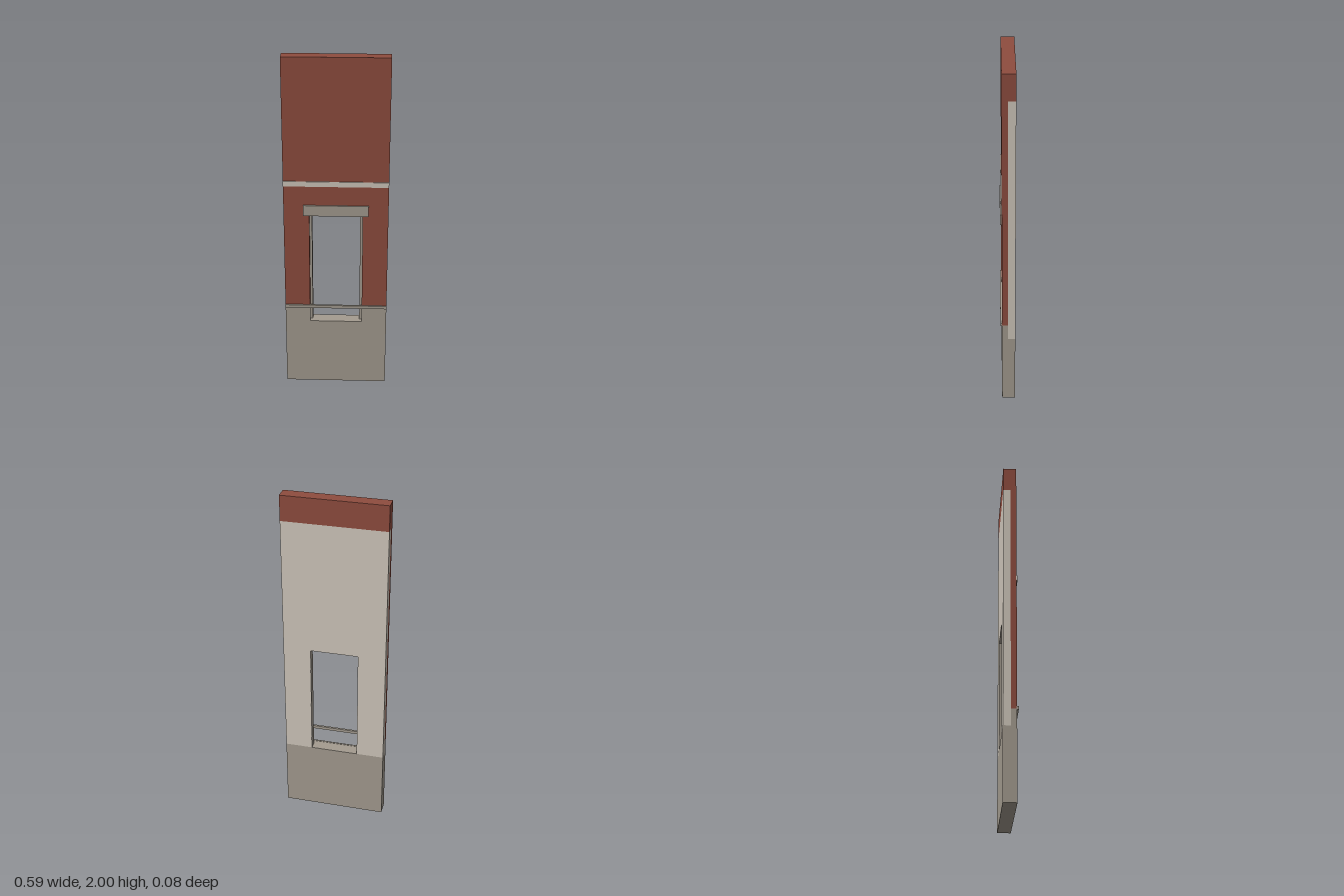
import * as THREE from 'three';

const HALF = 0.294, BACK = -0.042, MID = 0, FRONT = 0.033;

function material(name, color) {
  const m = new THREE.MeshStandardMaterial({ color });
  m.name = name;
  return m;
}

export function createModel() {
  const wall = new THREE.Group();
  wall.name = 'windowWallPanel';
  const brick = material('red brick', 0x8f4d3f);
  const stone = material('grey stone', 0xa49c90);
  const plaster = material('pale plaster', 0xd0c8bc);

  function add(name, geometry, mat) {
    const mesh = new THREE.Mesh(geometry, mat);
    mesh.name = name;
    wall.add(mesh);
  }

  // Box given by its limits on each axis
  function block(name, mat, x0, x1, y0, y1, z0, z1) {
    const g = new THREE.BoxGeometry(x1 - x0, y1 - y0, z1 - z0);
    g.translate((x0 + x1) / 2, (y0 + y1) / 2, (z0 + z1) / 2);
    add(name, g, mat);
  }

  // Flat outline extruded between two depths
  function slab(name, mat, points, z0, z1) {
    const shape = new THREE.Shape(points.map(([x, y]) => new THREE.Vector2(x, y)));
    const g = new THREE.ExtrudeGeometry(shape, { depth: z1 - z0, bevelEnabled: false });
    add(name, g.translate(0, 0, z0), mat);
  }

  // Upside-down U around the window opening
  const arch = (outer, bottom, top, inner, head) => [
    [-outer, bottom], [-inner, bottom], [-inner, head], [inner, head],
    [inner, bottom], [outer, bottom], [outer, top], [-outer, top],
  ];

  // Main wall layers
  slab('brickFacing', brick, arch(HALF, 0.505, 1.855, 0.15, 1.09), MID, FRONT);
  block('brickTop', brick, -HALF, HALF, 1.855, 2, BACK, FRONT);
  slab('plasterBacking', plaster, arch(HALF, 0.412, 1.855, 0.137, 1.082), BACK, MID);

  // Stone base with raised front cheeks beside the opening
  block('stoneBase', stone, -HALF, HALF, 0, 0.412, BACK, FRONT);
  for (const s of [-1, 1]) {
    const a = s * 0.15, b = s * HALF;
    block('baseCheek', stone, Math.min(a, b), Math.max(a, b), 0.412, 0.505, MID, FRONT);
  }

  // Window surround
  slab('windowFrame', stone, arch(0.15, 0.412, 1.09, 0.136, 1.081), BACK + 0.001, 0.003);
  block('lintel', stone, -0.183, 0.183, 1.09, 1.153, FRONT - 0.005, 0.042);
  block('windowSill', stone, -0.15, 0.15, 0.408, 0.414, FRONT - 0.005, 0.038);

  // Horizontal string courses
  block('lowerBand', stone, -HALF, HALF, 0.502, 0.52, FRONT - 0.003, 0.042);
  block('upperBand', plaster, -HALF, HALF, 1.266, 1.296, FRONT - 0.003, 0.038);

  return wall;
}
